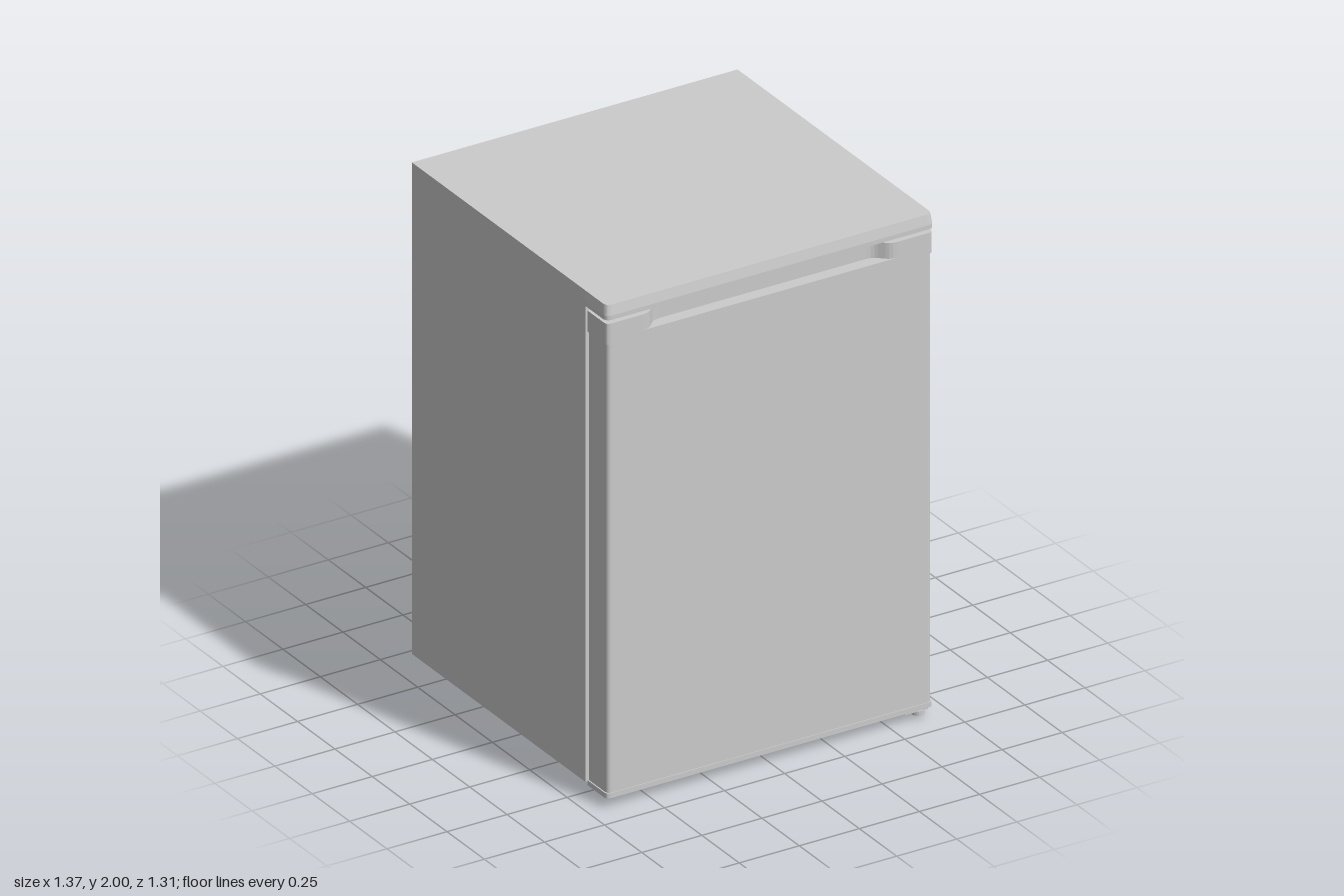
import * as THREE from 'three';

const material = new THREE.MeshStandardMaterial({ color: 0xcccccc, roughness: 0.7, flatShading: true });

export function createModel() {
  const model = new THREE.Group();

  function add(name, geometry, x = 0, y = 0, z = 0) {
    const mesh = new THREE.Mesh(geometry, material);
    mesh.name = name;
    mesh.position.set(x, y, z);
    model.add(mesh);
    return mesh;
  }

  function box(name, x0, x1, y0, y1, z0, z1) {
    return add(name, new THREE.BoxGeometry(x1 - x0, y1 - y0, z1 - z0),
      (x0 + x1) / 2, (y0 + y1) / 2, (z0 + z1) / 2);
  }

  function post(name, x, z, y0, y1, rTop, rBottom = rTop, sides = 16) {
    return add(name, new THREE.CylinderGeometry(rTop, rBottom, y1 - y0, sides), x, (y0 + y1) / 2, z);
  }

  // Slab drawn in plan with rounded front corners and an optional grip notch in the front
  function slab(name, halfWidth, z0, z1, y0, y1, radius, notch) {
    const s = new THREE.Shape();
    s.moveTo(-halfWidth, -z0);
    s.lineTo(-halfWidth, -(z1 - radius));
    s.quadraticCurveTo(-halfWidth, -z1, -halfWidth + radius, -z1);
    if (notch) {
      const { outer, inner, depth } = notch;
      const mid = (outer + inner) / 2;
      s.lineTo(-outer, -z1);
      s.bezierCurveTo(-mid, -z1, -mid, -z1 + depth, -inner, -z1 + depth);
      s.lineTo(inner, -z1 + depth);
      s.bezierCurveTo(mid, -z1 + depth, mid, -z1, outer, -z1);
    }
    s.lineTo(halfWidth - radius, -z1);
    s.quadraticCurveTo(halfWidth, -z1, halfWidth, -(z1 - radius));
    s.lineTo(halfWidth, -z0);
    s.closePath();
    const g = new THREE.ExtrudeGeometry(s, { depth: y1 - y0, bevelEnabled: false, curveSegments: 8 });
    g.rotateX(-Math.PI / 2);
    return add(name, g, 0, y0, 0);
  }

  // Cabinet and door seal
  box('cabinet', -0.678, 0.678, 0.045, 2, -0.655, 0.507);
  box('doorSeal', -0.66, 0.66, 0.07, 1.905, 0.507, 0.525);

  // Door: bottom trim, panel, top trim with the grip recess open at the top
  slab('doorBottomTrim', 0.68, 0.525, 0.653, 0.04, 0.06, 0.02);
  slab('doorPanel', 0.675, 0.525, 0.65, 0.06, 1.845, 0.02);
  slab('doorTopTrim', 0.68, 0.525, 0.653, 1.845, 1.865, 0.02);
  slab('doorGrip', 0.68, 0.525, 0.653, 1.865, 1.928, 0.02, { outer: 0.53, inner: 0.43, depth: 0.05 });

  // Worktop front rail: a lip below and an inward-leaning upper face
  slab('railLip', 0.683, 0.507, 0.655, 1.943, 1.96, 0.025);
  const rail = slab('rail', 0.683, 0.507, 0.655, 1.96, 2, 0.025);
  const p = rail.geometry.attributes.position;
  for (let i = 0; i < p.count; i++) {
    if (p.getY(i) < 0.02) continue;
    p.setX(i, p.getX(i) * 0.993);
    if (p.getZ(i) > 0.6) p.setZ(i, p.getZ(i) - 0.007);
  }
  rail.geometry.computeVertexNormals();

  // Hinges on the left edge of the door
  post('topHingePin', 0.65, 0.592, 1.925, 1.945, 0.018);
  box('bottomHingePlate', 0.52, 0.665, 0.03, 0.045, 0.42, 0.51);
  box('bottomHingeArm', 0.57, 0.665, 0.028, 0.039, 0.5, 0.64);
  post('bottomHingePin', 0.635, 0.622, 0.012, 0.03, 0.024);

  // Levelling feet
  for (const x of [-0.6, 0.6]) {
    for (const z of [-0.51, 0.465]) {
      post('footStem', x, z, 0.03, 0.046, 0.022);
      post('foot', x, z, 0, 0.035, 0.032, 0.029, 12);
    }
  }

  return model;
}
